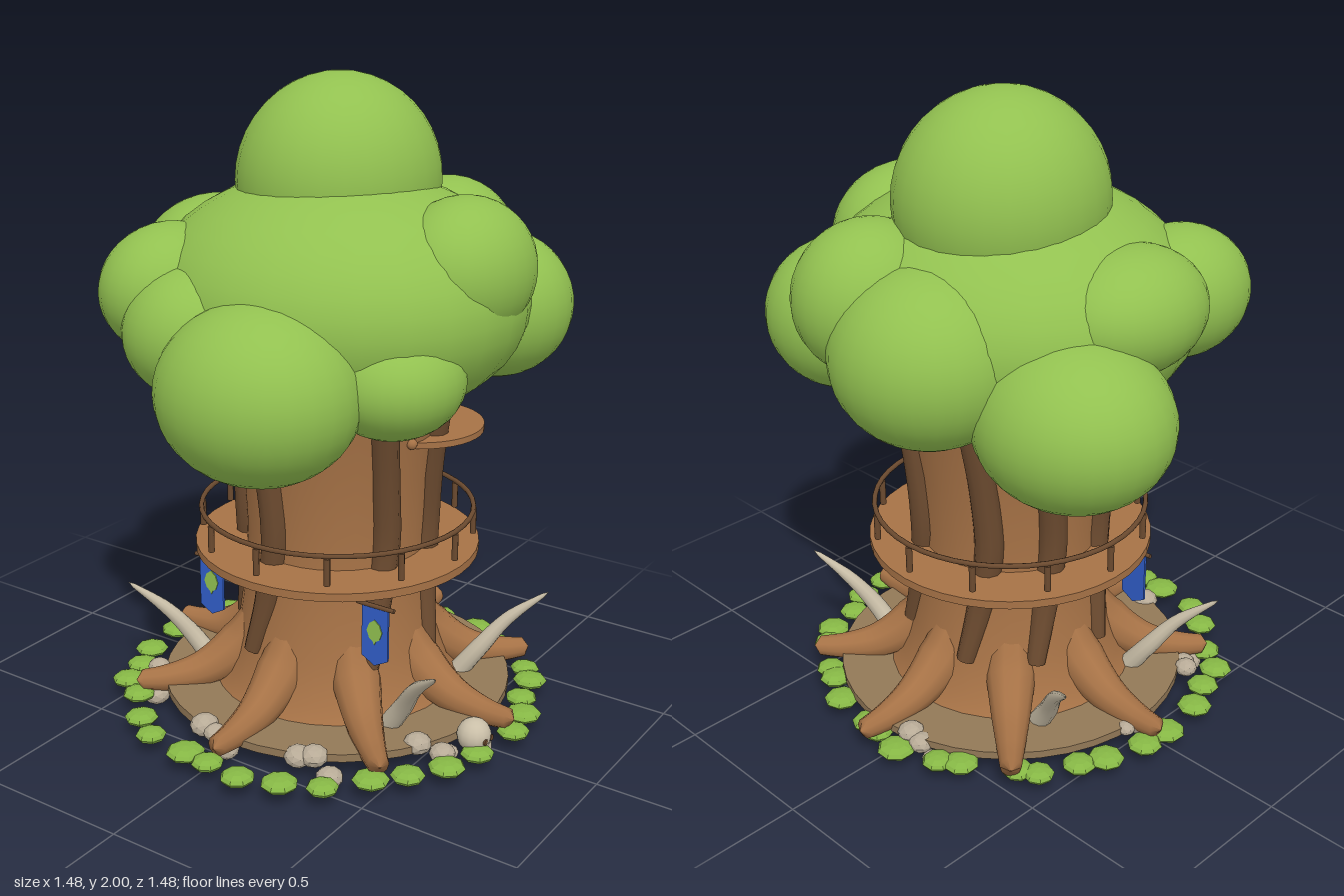
import * as THREE from 'three';

const mat = (name, color, double) => {
  const m = new THREE.MeshStandardMaterial({ color });
  m.name = name;
  if (double) m.side = THREE.DoubleSide;
  return m;
};
const V = (x, y, z) => new THREE.Vector3(x, y, z);

// Tube along points whose thickness follows a list of radii, closed at the tip
function taperTube(points, radii, segments = 16, sides = 10) {
  const curve = new THREE.CatmullRomCurve3(points);
  const geo = new THREE.TubeGeometry(curve, segments, 1, sides, false);
  const pos = geo.attributes.position;
  const v = new THREE.Vector3();
  for (let i = 0; i <= segments; i++) {
    const t = i / segments;
    const c = curve.getPointAt(t);
    const f = t * (radii.length - 1);
    const k = Math.min(Math.floor(f), radii.length - 2);
    const r = i === segments ? 0 : THREE.MathUtils.lerp(radii[k], radii[k + 1], f - k);
    for (let j = 0; j <= sides; j++) {
      const n = i * (sides + 1) + j;
      v.fromBufferAttribute(pos, n).sub(c).multiplyScalar(r).add(c);
      pos.setXYZ(n, v.x, v.y, v.z);
    }
  }
  return geo;
}

export function createModel() {
  const bark = mat('bark', 0xa67246);
  const darkBark = mat('dark bark', 0x6b4a2f);
  const leaf = mat('leaf', 0x92c150);
  const bush = mat('bush', 0x86b745);
  bush.flatShading = true;
  const earth = mat('earth', 0x927857);
  const ivory = mat('ivory', 0xcabfa8);
  const stone = mat('stone', 0xb8ab97);
  stone.flatShading = true;
  const cloth = mat('blue cloth', 0x315ec9, true);

  const model = new THREE.Group();
  const tree = new THREE.Group();
  tree.name = 'treeBase';
  tree.position.set(0.045, 0, -0.045);
  model.add(tree);

  const add = (parent, name, geo, material, x = 0, y = 0, z = 0) => {
    const m = new THREE.Mesh(geo, material);
    m.name = name;
    m.position.set(x, y, z);
    parent.add(m);
    return m;
  };
  const disc = (r, h) => new THREE.CylinderGeometry(r, r, h, 40);
  const polar = (deg, r, y) => {
    const a = THREE.MathUtils.degToRad(deg);
    return V(Math.cos(a) * r, y, Math.sin(a) * r);
  };

  // Ground disc
  add(tree, 'ground', disc(0.56, 0.025), earth, 0, 0.075, 0);

  // Flared trunk
  const profile = [[0.40, 0.08], [0.36, 0.13], [0.32, 0.25], [0.295, 0.42], [0.285, 0.6],
    [0.295, 0.8], [0.32, 1.0], [0.36, 1.2]].map(p => new THREE.Vector2(...p));
  add(tree, 'trunk', new THREE.LatheGeometry(profile, 32), bark);

  // Bark ridges winding up the trunk
  for (const deg of [-18, 27, 100, 155, 200, 240, 297]) {
    const pts = [[11, 0.32, 0.24], [4, 0.29, 0.42], [-2, 0.283, 0.62], [0, 0.295, 0.82], [5, 0.33, 1.08]]
      .map(([d, r, y]) => polar(deg + d, r, y));
    add(tree, 'barkRidge', taperTube(pts, [0.03, 0.042, 0.046, 0.044, 0.045], 20), darkBark);
  }

  // Spreading roots
  for (let i = 0; i < 8; i++) {
    const pts = [[0.24, 0.29], [0.31, 0.2], [0.43, 0.12], [0.55, 0.095], [0.655, 0.095]]
      .map(([r, y]) => polar(i * 45, r, y));
    add(tree, 'root', taperTube(pts, [0.07, 0.078, 0.062, 0.045, 0.03], 24), bark);
  }

  // Main deck with railing
  add(tree, 'deck', disc(0.45, 0.026), bark, 0, 0.542, 0);
  const rail = add(tree, 'railing', new THREE.TorusGeometry(0.43, 0.008, 8, 48), darkBark, 0, 0.665, 0);
  rail.rotation.x = Math.PI / 2;
  for (let i = 0; i < 12; i++) {
    const p = polar(i * 30, 0.43, 0.615);
    add(tree, 'railingPost', new THREE.CylinderGeometry(0.01, 0.01, 0.085, 8), darkBark, p.x, p.y, p.z);
  }

  // Upper balcony and its doorway
  const bp = polar(-36, 0.247, 0.925);
  add(tree, 'balcony', disc(0.21, 0.02), bark, bp.x, bp.y, bp.z);
  const door = add(tree, 'door', new THREE.BoxGeometry(0.009, 0.1, 0.11), leaf, 0.282, 0.983, -0.175);
  door.rotation.y = THREE.MathUtils.degToRad(30);
  for (const [x, y, z] of [[0.31, 0.94, 0.065], [-0.3, 0.92, 0.13]]) {
    add(tree, 'knob', new THREE.SphereGeometry(0.017, 10, 8), bark, x, y, z);
  }

  // Curved tusks in four directions
  for (const sx of [1, -1]) for (const sz of [1, -1]) {
    const pts = [[0.33, 0.07, 0.21], [0.4, 0.17, 0.235], [0.47, 0.27, 0.285], [0.58, 0.368, 0.355]]
      .map(([x, y, z]) => V(x * sx, y, z * sz));
    add(tree, 'tusk', taperTube(pts, [0.034, 0.029, 0.02, 0.005], 18), ivory);
  }

  // Hanging banners with a leaf emblem
  const flag = new THREE.Shape([[-0.046, 0], [0.046, 0], [0.046, -0.17], [0, -0.195], [-0.046, -0.17]]
    .map(p => new THREE.Vector2(...p)));
  const emblem = new THREE.Shape([[0, 0.042], [0.018, 0.028], [0.027, 0.004], [0.018, -0.02], [0.006, -0.028],
    [0, -0.04], [-0.006, -0.028], [-0.018, -0.02], [-0.027, 0.004], [-0.018, 0.028]]
    .map(p => new THREE.Vector2(...p)));
  for (const s of [1, -1]) {
    const banner = new THREE.Group();
    banner.name = 'banner';
    banner.position.set(s * 0.31, 0.485, 0.255);
    tree.add(banner);
    add(banner, 'bannerCloth', new THREE.ExtrudeGeometry(flag, { depth: 0.008, bevelEnabled: false }), cloth, 0, 0, -0.004);
    add(banner, 'bannerEmblem', new THREE.ExtrudeGeometry(emblem, { depth: 0.003, bevelEnabled: false }), leaf, 0, -0.085, 0.004);
    const pole = add(banner, 'bannerPole', new THREE.CylinderGeometry(0.007, 0.007, 0.13, 8), darkBark);
    pole.rotation.z = Math.PI / 2;
  }

  // Low shrubs around the rim, spreading further towards the front
  let seed = 7;
  const rnd = () => (seed = (seed * 16807) % 2147483647) / 2147483647;
  for (let i = 0; i < 34; i++) {
    const deg = i * 360 / 34 + rnd() * 7;
    const spread = 0.045 * Math.sin(THREE.MathUtils.degToRad(deg));
    const p = polar(deg, 0.615 + spread + rnd() * 0.04, 0.057);
    const r = 0.047 + rnd() * 0.014;
    const shrub = add(tree, 'shrub', new THREE.SphereGeometry(1, 8, 6), bush, p.x, p.y, p.z);
    shrub.scale.set(r, 0.021, r);
    shrub.rotation.y = rnd() * 3;
  }

  // Stone clusters, each with one flat stone the model rests on
  for (const deg of [24, 63, 98, 141, 180, 255]) {
    for (let k = 0; k < 3; k++) {
      const p = polar(deg + (k - 1) * 5, 0.53 + rnd() * 0.07, k ? 0.06 + rnd() * 0.02 : 0.035);
      const r = 0.028 + rnd() * 0.018;
      const rock = add(tree, 'stone', new THREE.IcosahedronGeometry(r, 1), stone, p.x, p.y, p.z);
      rock.scale.y = 0.75;
      rock.rotation.y = rnd() * 6;
    }
  }
  // Pale skull beside the roots
  const skull = new THREE.Group();
  skull.name = 'skull';
  skull.position.set(0.59, 0.085, 0.135);
  tree.add(skull);
  add(skull, 'skullDome', new THREE.SphereGeometry(0.053, 14, 10), ivory, 0, 0.005, 0);
  add(skull, 'skullJaw', new THREE.BoxGeometry(0.045, 0.035, 0.05), ivory, 0.025, -0.033, 0);
  for (const s of [1, -1]) {
    const eye = add(skull, 'skullEye', new THREE.CylinderGeometry(0.01, 0.01, 0.006, 8), darkBark, 0.049, 0.002, s * 0.018);
    eye.rotation.z = Math.PI / 2;
  }

  // Foliage lobes: centre, then radii
  const lobes = [
    [0, 1.68, -0.115, 0.307, 0.32, 0.328],
    [0.045, 1.345, -0.05, 0.59, 0.375, 0.56],
    [0.115, 1.17, 0.455, 0.305, 0.263, 0.285],
    [-0.43, 1.17, -0.27, 0.3, 0.25, 0.28],
    [-0.33, 1.375, 0.285, 0.205, 0.2, 0.24],
    [-0.17, 1.285, 0.37, 0.22, 0.2, 0.22],
    [-0.4, 1.42, -0.02, 0.21, 0.185, 0.26],
    [0.455, 1.465, -0.08, 0.205, 0.215, 0.25],
    [0.39, 1.19, 0.185, 0.205, 0.17, 0.22],
    [0.4, 1.295, -0.39, 0.24, 0.23, 0.235],
    [-0.05, 1.31, -0.455, 0.29, 0.265, 0.285],
    [0.18, 1.425, -0.465, 0.22, 0.23, 0.235],
  ];
  const foliage = new THREE.Group();
  foliage.name = 'foliage';
  model.add(foliage);
  const ball = new THREE.SphereGeometry(1, 28, 20);
  for (const [x, y, z, rx, ry, rz] of lobes) {
    add(foliage, 'foliageLobe', ball, leaf, x, y, z).scale.set(rx, ry, rz);
  }
  return model;
}
